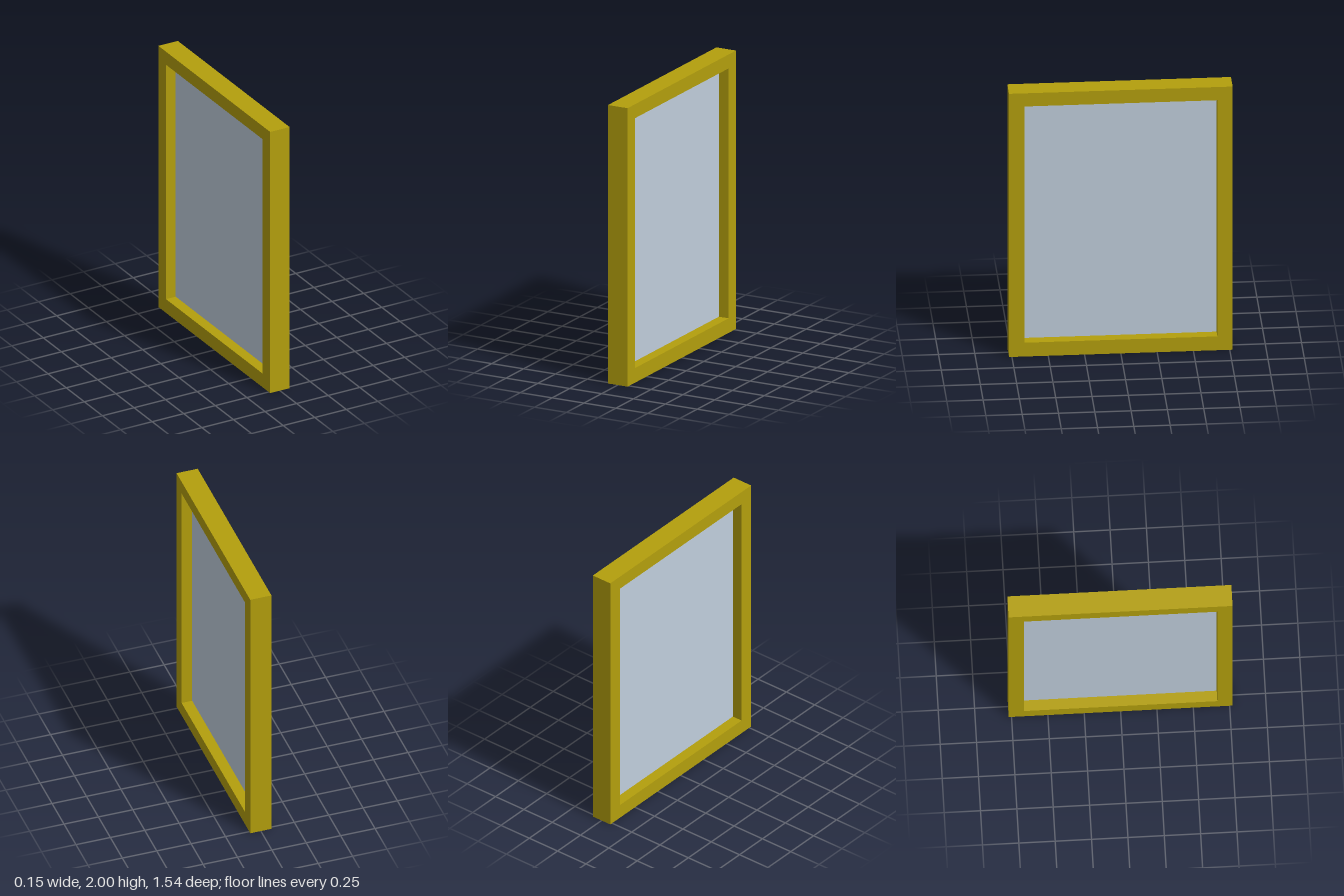
import * as THREE from 'three';

const HEIGHT = 2, WIDTH = 1.54, DEPTH = 0.154;
const OPENING_WIDTH = 1.33, OPENING_BOTTOM = 0.105, OPENING_TOP = 1.9;

// Corner points of an upright rectangle centred on x = 0
function rectangle(width, bottom, top) {
  const h = width / 2;
  return [[-h, bottom], [h, bottom], [h, top], [-h, top]].map(([x, y]) => new THREE.Vector2(x, y));
}

export function createModel() {
  const model = new THREE.Group();
  model.name = 'window';

  // Frame: one rectangular ring, extruded and turned to face sideways
  const outline = new THREE.Shape(rectangle(WIDTH, 0, HEIGHT));
  outline.holes.push(new THREE.Path(rectangle(OPENING_WIDTH, OPENING_BOTTOM, OPENING_TOP).reverse()));
  const frameGeometry = new THREE.ExtrudeGeometry(outline, { depth: DEPTH, bevelEnabled: false });
  frameGeometry.translate(0, 0, -DEPTH / 2).rotateY(Math.PI / 2);
  const frame = new THREE.Mesh(frameGeometry, new THREE.MeshStandardMaterial({ color: 0xb39f0d }));
  frame.name = 'frame';
  model.add(frame);

  // Glass pane: a thin sheet halfway through the frame
  const paneGeometry = new THREE.PlaneGeometry(OPENING_WIDTH, OPENING_TOP - OPENING_BOTTOM);
  paneGeometry.rotateY(Math.PI / 2).translate(0, (OPENING_TOP + OPENING_BOTTOM) / 2, 0);
  const pane = new THREE.Mesh(
    paneGeometry,
    new THREE.MeshStandardMaterial({ color: 0xc0cedc, side: THREE.DoubleSide })
  );
  pane.name = 'glassPane';
  model.add(pane);

  return model;
}
